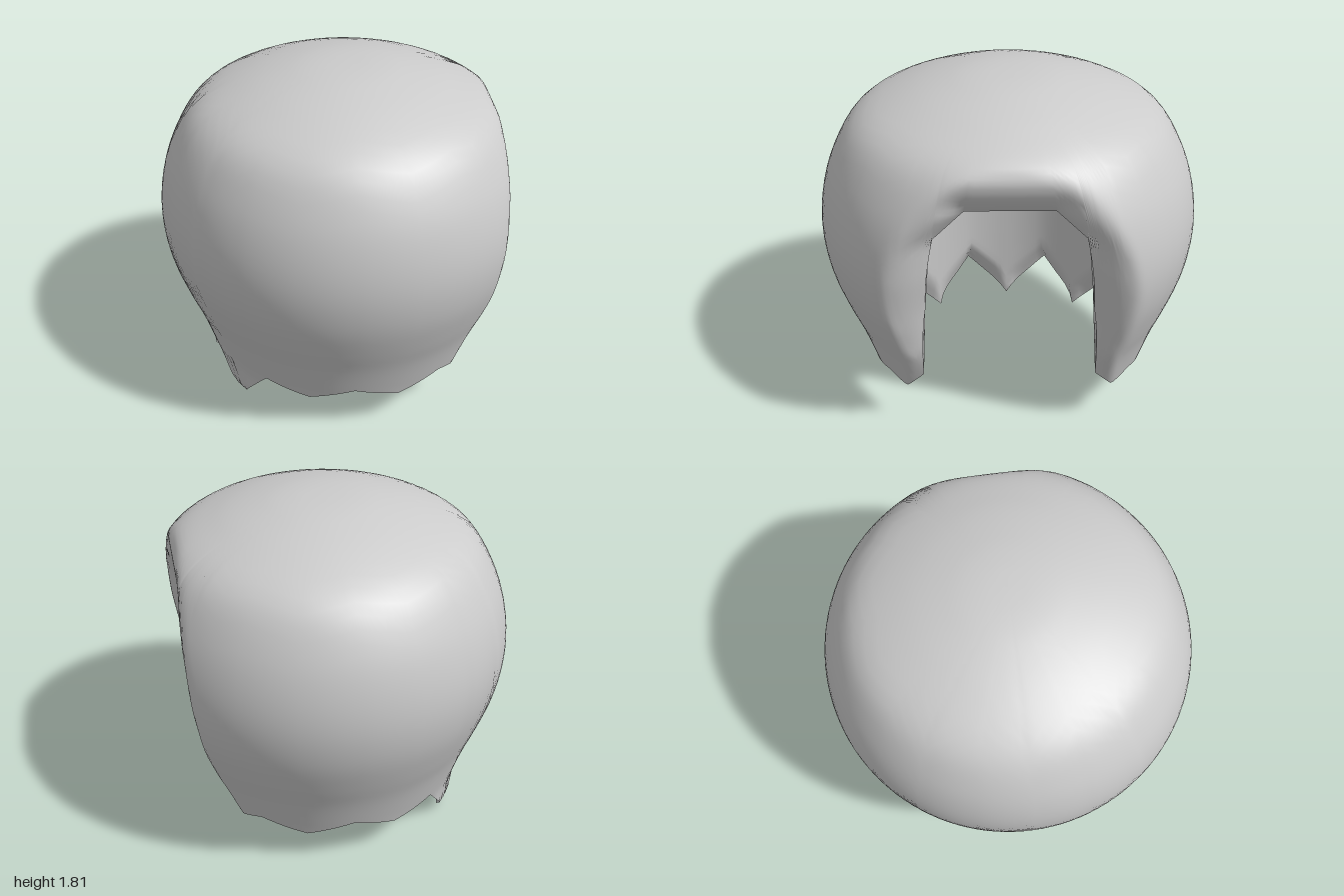
import * as THREE from 'three';

const CX = 0.1; // axis of the dome
const { lerp, smoothstep, degToRad } = THREE.MathUtils;

// Piecewise linear lookup in a list of [key, value]
function look(table, k) {
  if (k <= table[0][0]) return table[0][1];
  for (let i = 1; i < table.length; i++) {
    const [k0, v0] = table[i - 1], [k1, v1] = table[i];
    if (k <= k1) return lerp(v0, v1, (k - k0) / (k1 - k0));
  }
  return table[table.length - 1][1];
}

// Lower rim: [degrees from the back, height], locks first, then the face opening
const rim = [[0, 0], [18, 0.25], [36, 0], [54, 0.26], [72, 0.2], [90, 0.28], [108, 0.2],
  [126, 0.28], [136, 0.24], [146.3, 0.34], [154.3, 0.8], [157.5, 1.23], [166.3, 1.38], [180, 1.38]];

// Dome profile: [radius, height]
const profile = new THREE.CatmullRomCurve3([[0, 1.808], [0.15, 1.803], [0.3, 1.783], [0.55, 1.715],
  [0.79, 1.595], [0.915, 1.4], [0.98, 1.2], [1, 1], [0.975, 0.8], [0.91, 0.6], [0.85, 0.45],
  [0.8, 0.3], [0.765, 0.18], [0.75, 0.06], [0.71, 0]].map(([r, y]) => new THREE.Vector3(r, y, 0)));

// Flattened face side: [height, reach along x from the axis]
const face = [[0.24, 0.56], [0.34, 0.605], [0.5, 0.685], [0.7, 0.735], [1, 0.78], [1.25, 0.798],
  [1.5, 0.792], [1.56, 0.785], [1.62, 0.755], [1.66, 0.72]];
// Face opening: [height, half width]
const opening = [[0.34, 0.45], [0.8, 0.42], [1.23, 0.37], [1.38, 0.22]];

// Profile parameter at a given height
function paramAt(y) {
  let lo = 0, hi = 1;
  for (let i = 0; i < 24; i++) {
    const mid = (lo + hi) / 2;
    if (profile.getPoint(mid).y > y) lo = mid; else hi = mid;
  }
  return lo;
}

// Point on the outside, with the face side flattened and the lip rolled inward
function outerPoint(a, s) {
  const { x: r, y } = profile.getPoint(s);
  let x = -r * Math.cos(a);
  const z = r * Math.sin(a), limit = look(face, y), k = 0.025;
  const h = Math.max(k - Math.abs(x - limit), 0) / k;
  x = Math.min(x, limit) - h * h * k / 4;
  if (x > 0) {
    const dz = Math.max(Math.abs(z) - look(opening, y), 0);
    const d = Math.hypot(dz, Math.max(y - 1.38, 0));
    x -= 0.09 * Math.max(1 - d / 0.2, 0) ** 2 * smoothstep(y, 0.2, 0.8);
  }
  return new THREE.Vector3(x, Math.max(y, 0), z);
}

// Closed ring of columns, each a list of points
function skin(columns) {
  const n = columns.length, m = columns[0].length, pos = [], idx = [];
  columns.forEach(c => c.forEach(p => pos.push(p.x + CX, p.y, p.z)));
  for (let i = 0; i < n; i++) {
    const a = i * m, b = ((i + 1) % n) * m;
    for (let j = 0; j < m - 1; j++) {
      idx.push(a + j, a + j + 1, b + j + 1, a + j, b + j + 1, b + j);
    }
  }
  const g = new THREE.BufferGeometry();
  g.setAttribute('position', new THREE.Float32BufferAttribute(pos, 3));
  g.setIndex(idx);
  g.computeVertexNormals();
  // Straight normals at the pole, where all columns meet
  const nor = g.attributes.normal;
  columns.forEach((c, i) => c.forEach((p, j) => {
    if (Math.hypot(p.x, p.z) < 1e-4) nor.setXYZ(i * m + j, 0, j === 0 ? 1 : -1, 0);
  }));
  return g;
}

export function createModel() {
  const group = new THREE.Group();
  const material = new THREE.MeshStandardMaterial({ color: 0xcccccc, roughness: 0.8, side: THREE.DoubleSide });

  // Column angles: every rim key, subdivided, mirrored to both sides
  const half = [];
  for (let i = 1; i < rim.length; i++) {
    for (let k = 0; k < 6; k++) half.push(lerp(rim[i - 1][0], rim[i][0], k / 6));
  }
  half.push(180);
  const angles = [...half.slice(1, -1).reverse().map(d => -d), ...half];

  const parts = { outerShell: [], innerWall: [], innerCeiling: [] };
  for (const deg of angles) {
    const a = degToRad(deg), end = paramAt(look(rim, Math.abs(deg)));

    // Outside: from the crown down to the rim
    const col = [];
    for (let j = 0; j <= 40; j++) col.push(outerPoint(a, end * j / 40));
    parts.outerShell.push(col);

    // Top of the inner wall: narrower in front, where deep cheeks run back from the opening
    const p = col[40], rimR = Math.hypot(p.x, p.z);
    const R = lerp(0.67, 0.52, smoothstep(Math.abs(deg), 40, 126));
    const front = smoothstep(Math.abs(deg), 126, 146);
    const side = Math.sin(Math.min(Math.abs(a), Math.PI / 2));
    const cheekZ = p.z * 0.9;
    const top = new THREE.Vector3(
      lerp(p.x / rimR * R, Math.sqrt(Math.max(R * R - cheekZ * cheekZ, 0)), front),
      Math.max(1.18 + 0.22 * side * side, p.y + 0.03),
      lerp(p.z / rimR * R, cheekZ, front));

    // Inner wall: straight up from the rim, with a small bevel below
    const wall = [];
    for (let j = 0; j <= 20; j++) {
      const t = j / 20, q = p.clone().lerp(top, t);
      const inset = (rimR - 0.71) * smoothstep(t, 0, 0.12) * (1 - t) * (1 - front);
      q.x -= p.x / rimR * inset;
      q.z -= p.z / rimR * inset;
      wall.push(q);
    }
    parts.innerWall.push(wall);

    // Ceiling: shallow dome above the wall
    const ceiling = [];
    for (let j = 0; j <= 10; j++) {
      const t = j / 10;
      ceiling.push(new THREE.Vector3(top.x * (1 - t), lerp(top.y, 1.48, Math.sin(t * Math.PI / 2)), top.z * (1 - t)));
    }
    parts.innerCeiling.push(ceiling);
  }

  for (const [name, columns] of Object.entries(parts)) {
    const mesh = new THREE.Mesh(skin(columns), material);
    mesh.name = name;
    group.add(mesh);
  }
  return group;
}
